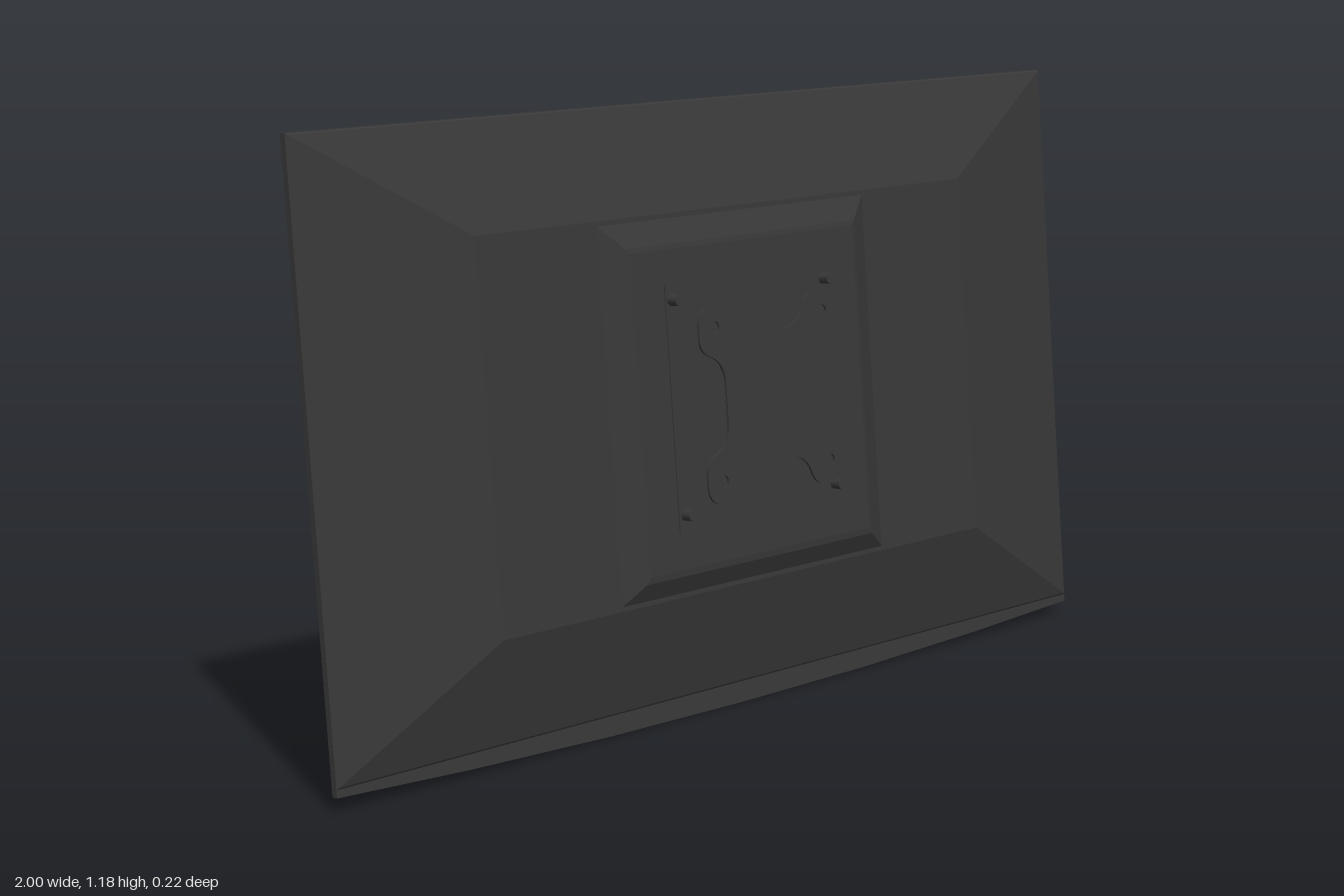
import * as THREE from 'three';

export function createModel() {
  const dark = new THREE.MeshStandardMaterial({ color: 0x383838 });
  dark.name = 'darkPlastic';
  dark.flatShading = true;
  const orange = new THREE.MeshStandardMaterial({ color: 0xcc7e10 });
  orange.name = 'screenOrange';

  const model = new THREE.Group();
  model.name = 'wallMonitor';
  // everything is built upright, then leaned back by five degrees
  const panel = new THREE.Group();
  panel.name = 'tiltedPanel';
  panel.rotation.x = -0.0873;
  model.add(panel);

  const add = (name, geometry, x = 0, y = 0, z = 0, material = dark) => {
    const mesh = new THREE.Mesh(geometry, material);
    mesh.name = name;
    mesh.position.set(x, y, z);
    panel.add(mesh);
    return mesh;
  };

  // rectangular rings [halfWidth, bottom, top, depth] joined by slopes and capped in front
  const steppedShell = (rings) => {
    const points = [];
    for (const [w, b, t, z] of rings) points.push([-w, b, z], [w, b, z], [w, t, z], [-w, t, z]);
    const index = [];
    for (let r = 0; r < rings.length - 1; r++) {
      for (let i = 0; i < 4; i++) {
        const a = r * 4 + i, b = r * 4 + (i + 1) % 4;
        index.push(a, b, b + 4, a, b + 4, a + 4);
      }
    }
    const c = (rings.length - 1) * 4;
    index.push(c, c + 1, c + 2, c, c + 2, c + 3);
    const g = new THREE.BufferGeometry();
    g.setAttribute('position', new THREE.Float32BufferAttribute(points.flat(), 3));
    g.setIndex(index);
    const flat = g.toNonIndexed();
    flat.computeVertexNormals();
    return flat;
  };

  // bezel frame with a gently bowed lower edge
  const screen = { w: 0.974, bottom: 0.06, top: 1.16 };
  const outline = new THREE.Shape();
  outline.moveTo(-1, 0.027);
  for (const [x, y] of [[-0.7, 0.013], [-0.35, 0.003], [0, 0], [0.35, 0.003], [0.7, 0.013], [1, 0.027], [1, 1.182], [-1, 1.182]]) {
    outline.lineTo(x, y);
  }
  outline.closePath();
  const opening = new THREE.Path();
  opening.moveTo(-screen.w, screen.bottom);
  opening.lineTo(-screen.w, screen.top);
  opening.lineTo(screen.w, screen.top);
  opening.lineTo(screen.w, screen.bottom);
  opening.closePath();
  outline.holes.push(opening);
  add('bezelFrame', new THREE.ExtrudeGeometry(outline, { depth: 0.013, bevelEnabled: false }), 0, 0, -0.005);

  // display surface, slightly sunk in the bezel
  add('screen', new THREE.BoxGeometry(screen.w * 2, screen.top - screen.bottom, 0.005),
    0, (screen.top + screen.bottom) / 2, 0, orange);

  // sloped housing and its raised centre
  add('housing', steppedShell([
    [1, 0.04, 1.182, 0.007], [0.995, 0.045, 1.178, 0.011], [0.65, 0.248, 0.975, 0.07],
  ]));
  add('raisedCentre', steppedShell([
    [0.36, 0.255, 0.968, 0.069], [0.31, 0.292, 0.92, 0.09], [0.3, 0.305, 0.91, 0.092],
  ]));
  add('mountPad', new THREE.BoxGeometry(0.44, 0.47, 0.006), 0, 0.612, 0.0915);

  // corner screws
  for (const sx of [-1, 1]) {
    for (const sy of [-1, 1]) {
      const screw = new THREE.CylinderGeometry(0.011, 0.011, 0.026, 16).rotateX(Math.PI / 2);
      add('cornerScrew', screw, sx * 0.205, 0.612 + sy * 0.203, 0.104);
    }
  }

  // crossbars that hold the plate off the housing
  for (const y of [0.503, 0.678]) {
    add('crossbar', new THREE.BoxGeometry(0.18, 0.014, 0.05), 0, y, 0.117);
  }

  // mounting plate: one notched quarter, turned four times
  const plate = new THREE.Shape();
  const turn = (k, x, y) => {
    for (let i = 0; i < k; i++) [x, y] = [-y, x];
    return [x, y];
  };
  plate.moveTo(0.187, 0.15);
  for (let k = 0; k < 4; k++) {
    const curve = (cx, cy, x, y) => plate.quadraticCurveTo(...turn(k, cx, cy), ...turn(k, x, y));
    curve(0.187, 0.187, 0.15, 0.187);
    plate.lineTo(...turn(k, 0.125, 0.187));
    curve(0.103, 0.187, 0.093, 0.163);
    curve(0.08, 0.127, 0.04, 0.125);
    plate.lineTo(...turn(k, -0.04, 0.125));
    curve(-0.08, 0.127, -0.093, 0.163);
    curve(-0.103, 0.187, -0.125, 0.187);
    plate.lineTo(...turn(k, -0.15, 0.187));
    const hole = new THREE.Path();
    hole.absarc(...turn(k, 0.146, 0.146), 0.012, 0, Math.PI * 2, true);
    plate.holes.push(hole);
  }
  add('mountingPlate', new THREE.ExtrudeGeometry(plate, { depth: 0.005, bevelEnabled: false, curveSegments: 8 }),
    0, 0.612, 0.14);

  return model;
}
